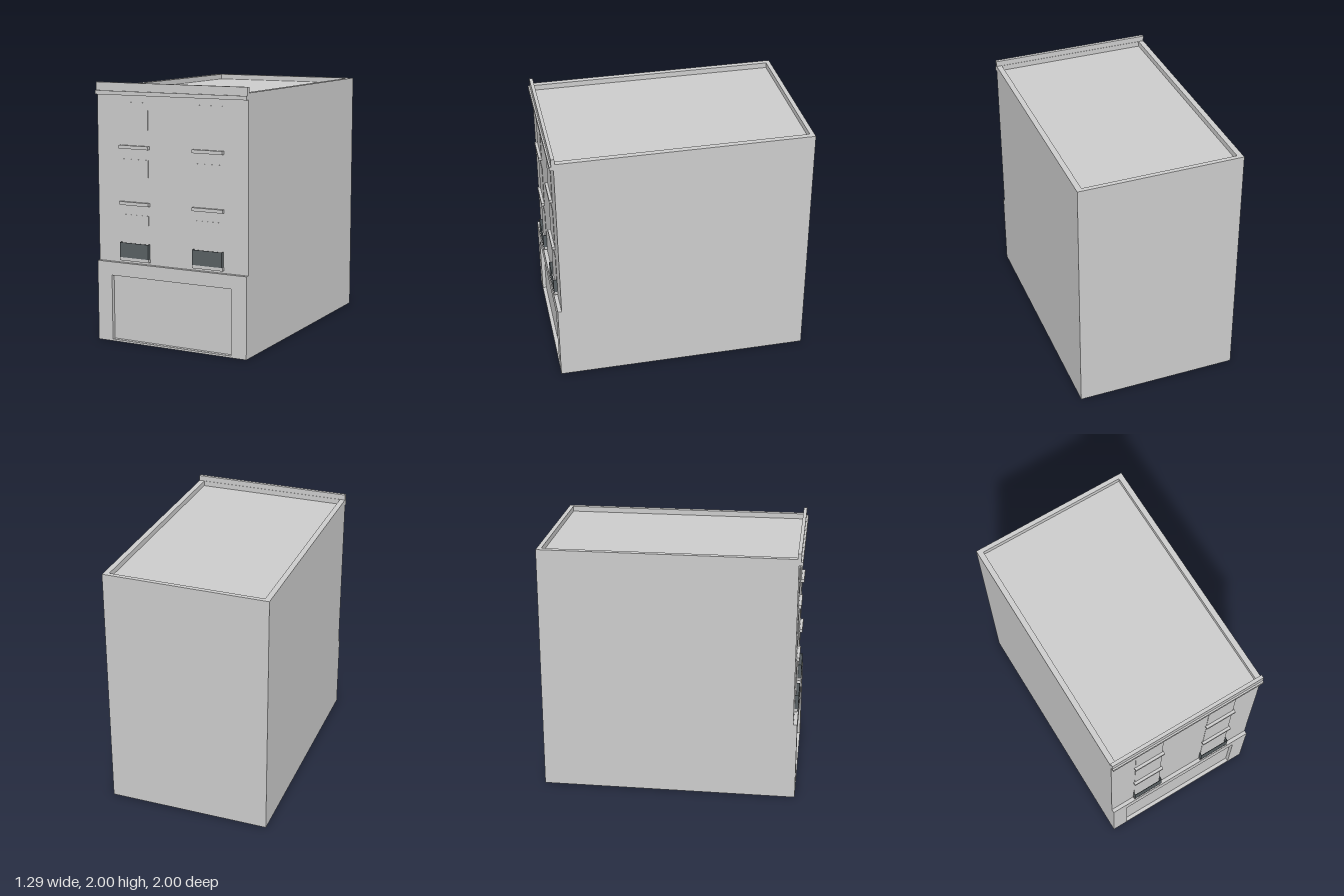
import * as THREE from 'three';

const grey = new THREE.MeshStandardMaterial({ color: 0xcccccc });
const dark = new THREE.MeshStandardMaterial({ color: 0x596063 });

// Box given by its min and max corners
function box(parent, name, [x0, y0, z0], [x1, y1, z1], material = grey) {
  const mesh = new THREE.Mesh(new THREE.BoxGeometry(x1 - x0, y1 - y0, z1 - z0), material);
  mesh.position.set((x0 + x1) / 2, (y0 + y1) / 2, (z0 + z1) / 2);
  mesh.name = name;
  parent.add(mesh);
  return mesh;
}

function rect(Type, x0, y0, x1, y1) {
  return new Type().moveTo(x0, y0).lineTo(x1, y0).lineTo(x1, y1).lineTo(x0, y1).closePath();
}

// Rectangular frame extruded along +z
function frame(name, outer, inner, depth) {
  const shape = rect(THREE.Shape, ...outer);
  shape.holes.push(rect(THREE.Path, ...inner));
  const mesh = new THREE.Mesh(new THREE.ExtrudeGeometry(shape, { depth, bevelEnabled: false }), grey);
  mesh.name = name;
  return mesh;
}

export function createModel() {
  const model = new THREE.Group();
  model.name = 'townhouse';
  const W = 0.643, FRONT = 0.97, ROOF = 1.915, TOP = 1.957;

  // Main block and the parapet round the flat roof
  box(model, 'body', [-W, 0, -1], [W, ROOF, FRONT]);
  const parapet = frame('parapet', [-W, -FRONT, W, 1], [-0.6, -0.957, 0.6, 0.965], TOP - ROOF);
  parapet.rotation.x = -Math.PI / 2;
  parapet.position.y = ROOF;
  model.add(parapet);

  // Stepped cornice along the top of the facade
  const profile = new THREE.Shape([
    [0.97, 1.907], [1, 1.907], [1, 1.937], [0.987, 1.937], [0.987, 2], [0.96, 2], [0.96, 1.937], [0.97, 1.937],
  ].map(([z, y]) => new THREE.Vector2(-z, y)));
  const cornice = new THREE.Mesh(new THREE.ExtrudeGeometry(profile, { depth: 2 * W, bevelEnabled: false }), grey);
  cornice.name = 'cornice';
  cornice.rotation.y = Math.PI / 2;
  cornice.position.x = -W;
  model.add(cornice);

  // Ground-floor shopfront surround with a recessed panel
  const shopfront = frame('shopfront', [-W, 0, W, 0.625], [-0.515, 0.015, 0.515, 0.52], 1 - FRONT);
  shopfront.position.z = FRONT;
  model.add(shopfront);

  // Two columns of windows with sills; balconies on the lowest row
  for (const side of [-1, 1]) {
    const column = new THREE.Group();
    column.name = side > 0 ? 'leftWindows' : 'rightWindows';
    column.position.x = side * 0.315;
    model.add(column);
    for (const [y, height] of [[0.67, 0.33], [1.1, 0.325], [1.53, 0.325]]) {
      box(column, 'window', [-0.118, y, FRONT], [0.118, y + height, FRONT + 0.003]);
      box(column, 'sill', [-0.128, y - 0.026, FRONT], [0.128, y, 0.995]);
    }
    const balcony = new THREE.Group();
    balcony.name = 'balconyRailing';
    column.add(balcony);
    box(balcony, 'railingFront', [-0.125, 0.67, 0.996], [0.125, 0.785, 1], dark);
    for (const s of [-1, 1]) {
      box(balcony, 'railingSide', [s * 0.123 - 0.002, 0.67, FRONT], [s * 0.123 + 0.002, 0.785, 0.996], dark);
    }
  }
  return model;
}
